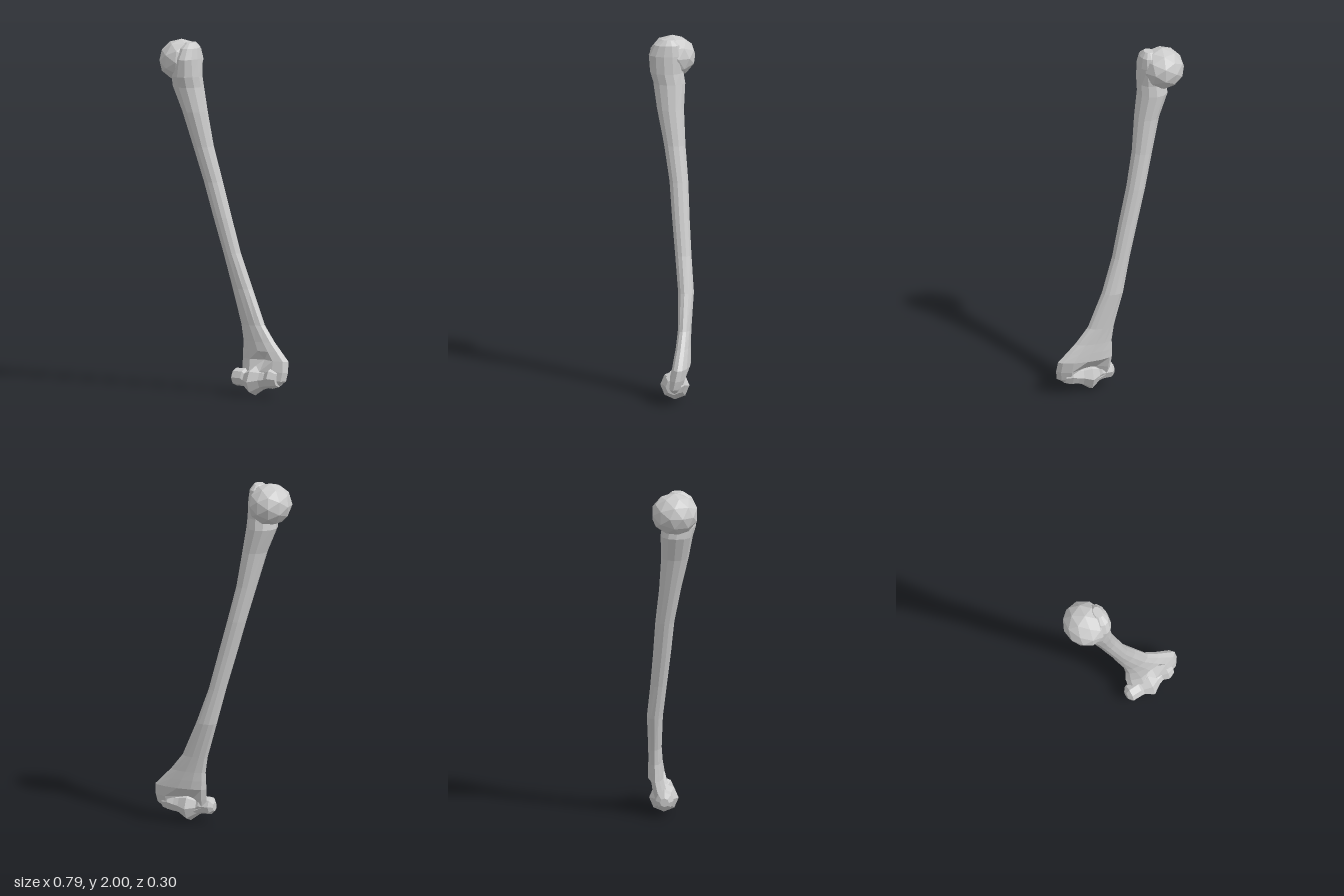
import * as THREE from 'three';

const material = new THREE.MeshStandardMaterial({ color: 0xcccccc, flatShading: true });

// Skin a list of equal-length rings and close both ends
function loft(rings) {
  const n = rings[0].length, pos = [], index = [];
  rings.forEach(r => r.forEach(p => pos.push(p.x, p.y, p.z)));
  for (let i = 0; i < rings.length - 1; i++) {
    for (let j = 0; j < n; j++) {
      const a = i * n + j, b = i * n + (j + 1) % n;
      index.push(a, a + n, b, b, a + n, b + n);
    }
  }
  [0, rings.length - 1].forEach((row, end) => {
    const c = new THREE.Vector3();
    rings[row].forEach(p => c.addScaledVector(p, 1 / n));
    const ci = pos.length / 3;
    pos.push(c.x, c.y, c.z);
    for (let j = 0; j < n; j++) {
      const a = row * n + j, b = row * n + (j + 1) % n;
      index.push(ci, end ? b : a, end ? a : b);
    }
  });
  const g = new THREE.BufferGeometry();
  g.setAttribute('position', new THREE.Float32BufferAttribute(pos, 3));
  g.setIndex(index);
  g.computeVertexNormals();
  return g;
}

function part(name, geometry) {
  const mesh = new THREE.Mesh(geometry, material);
  mesh.name = name;
  return mesh;
}

// Shaft sections: y, x min, x max, z min, z max
const SHAFT = [
  [0.065, 0.11, 0.33, -0.11, -0.05],
  [0.10, 0.075, 0.385, -0.125, -0.035],
  [0.15, 0.07, 0.392, -0.142, -0.04],
  [0.21, 0.065, 0.385, -0.152, -0.055],
  [0.26, 0.066, 0.335, -0.15, -0.06],
  [0.31, 0.068, 0.285, -0.147, -0.066],
  [0.40, 0.055, 0.212, -0.146, -0.07],
  [0.60, 0.0, 0.125, -0.15, -0.06],
  [0.80, -0.045, 0.056, -0.128, -0.035],
  [1.00, -0.098, 0.008, -0.11, -0.01],
  [1.20, -0.15, -0.042, -0.095, 0.012],
  [1.40, -0.2, -0.085, -0.072, 0.05],
  [1.60, -0.25, -0.11, -0.058, 0.096],
  [1.74, -0.305, -0.13, -0.06, 0.122],
  [1.80, -0.3, -0.132, -0.05, 0.14],
  [1.90, -0.26, -0.137, -0.045, 0.145],
  [1.96, -0.24, -0.147, -0.03, 0.115],
  [1.99, -0.22, -0.17, 0.0, 0.07],
];

function shaft() {
  const sides = 12;
  return loft(SHAFT.map(([y, x0, x1, z0, z1]) => {
    const ring = [];
    for (let j = 0; j < sides; j++) {
      const a = j / sides * Math.PI * 2, c = Math.cos(a), s = Math.sin(a);
      const p = new THREE.Vector3((x0 + x1) / 2 + c * (x1 - x0) / 2, y, (z0 + z1) / 2 + s * (z1 - z0) / 2);
      // Hollows above the joint, front and back
      const near = Math.abs(p.x - 0.21) < 0.06;
      if (near && s > 0.5 && y > 0.18 && y < 0.24) p.z -= 0.04;
      if (near && s < -0.5 && y > 0.09 && y < 0.2) p.z += 0.045;
      ring.push(p);
    }
    return ring;
  }));
}

// Joint spool sections: x, centre y, centre z, radius
const SPOOL = [
  [0.04, 0.10, -0.05, 0.025],
  [0.06, 0.105, -0.05, 0.05],
  [0.12, 0.105, -0.055, 0.052],
  [0.135, 0.095, -0.055, 0.05],
  [0.185, 0.09, -0.06, 0.083],
  [0.235, 0.10, -0.07, 0.058],
  [0.265, 0.105, -0.075, 0.052],
  [0.30, 0.115, -0.07, 0.062],
  [0.34, 0.11, -0.075, 0.045],
];

function spool() {
  const sides = 8;
  return loft(SPOOL.map(([x, y, z, r]) => Array.from({ length: sides }, (_, j) => {
    const a = j / sides * Math.PI * 2;
    return new THREE.Vector3(x, y + r * Math.sin(a), z + r * Math.cos(a));
  })));
}

// Faceted ball, flattened where it meets the shaft
function head() {
  const g = new THREE.IcosahedronGeometry(1, 1);
  g.rotateY(0.4);
  g.scale(0.125, 0.12, 0.134);
  g.translate(-0.272, 1.882, 0.022);
  const p = g.attributes.position;
  for (let i = 0; i < p.count; i++) p.setX(i, Math.min(p.getX(i), -0.16));
  g.computeVertexNormals();
  return g;
}

export function createModel() {
  const group = new THREE.Group();
  group.name = 'upperArmBone';
  group.add(part('shaft', shaft()), part('ballHead', head()), part('elbowJoint', spool()));
  return group;
}
